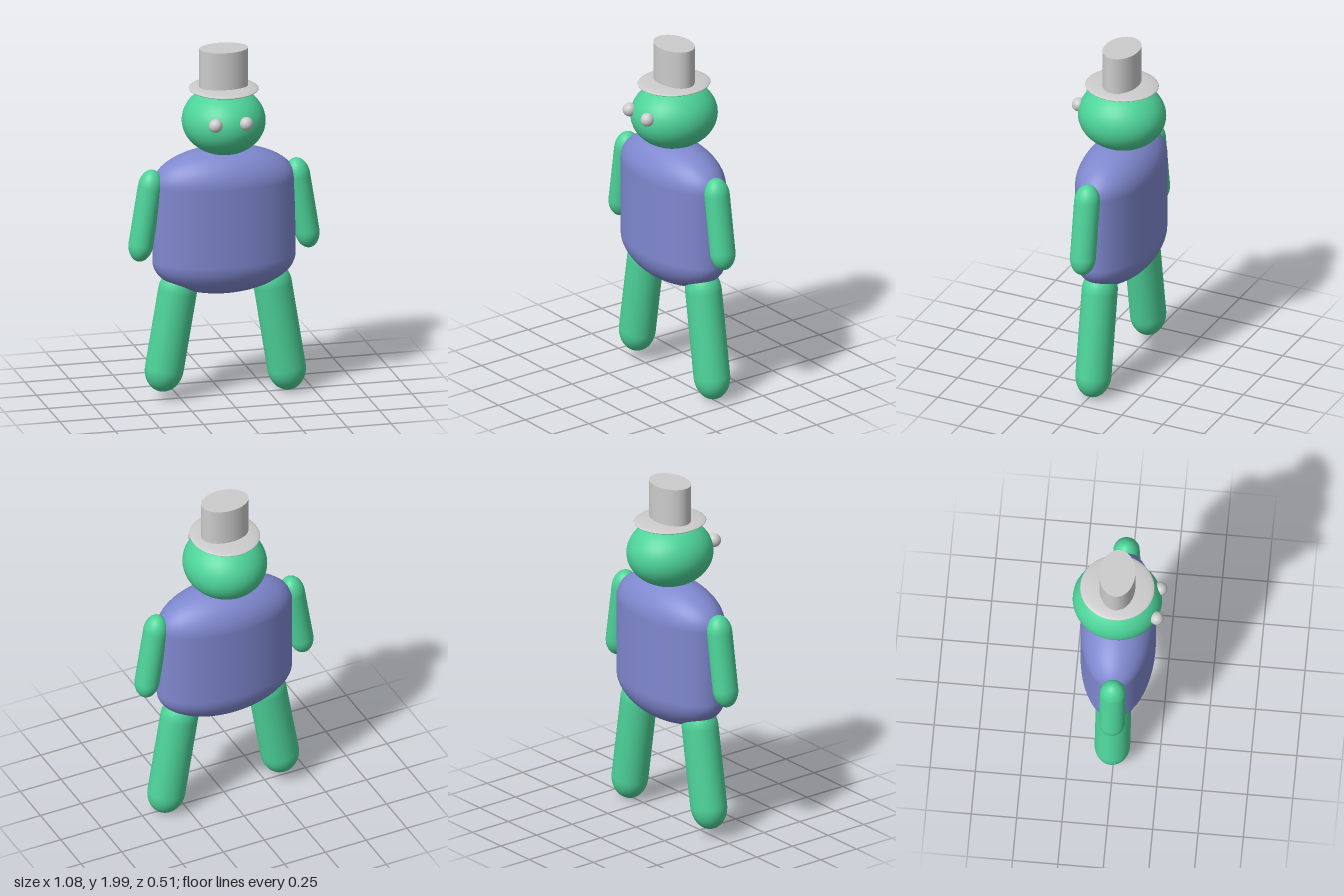
import * as THREE from 'three';

const green = new THREE.MeshStandardMaterial({ color: 0x4dd399 });
const blue = new THREE.MeshStandardMaterial({ color: 0x7f88cf });
const grey = new THREE.MeshStandardMaterial({ color: 0xcccccc });

export function createModel() {
  const model = new THREE.Group();

  function add(name, geometry, material, x, y, z, tilt = 0) {
    const mesh = new THREE.Mesh(geometry, material);
    mesh.name = name;
    mesh.position.set(x, y, z);
    mesh.rotation.z = tilt;
    model.add(mesh);
    return mesh;
  }

  // Capsule with an elliptical section and stretched end caps
  const capsule = (rx, rz, length, cap) =>
    new THREE.CapsuleGeometry(1, length / cap - 2, 20, 48).scale(rx, cap, rz);
  const ellipsoid = (rx, ry, rz) =>
    new THREE.SphereGeometry(1, 48, 32).scale(rx, ry, rz);

  // Torso and head
  add('torso', capsule(0.403, 0.205, 0.84, 0.2), blue, 0, 1.02, -0.007);
  add('head', ellipsoid(0.23, 0.19, 0.246), green, 0, 1.587, -0.012);

  // Hat: thin lens-shaped brim with an oval crown
  add('hatBrim', ellipsoid(0.191, 0.02, 0.205), grey, 0, 1.77, -0.012);
  const crown = new THREE.CylinderGeometry(1, 1, 0.23, 64).scale(0.137, 1, 0.099);
  add('hatCrown', crown, grey, 0, 1.885, -0.012);

  // Eyes, set slightly towards the right
  add('rightEye', ellipsoid(0.038, 0.038, 0.038), grey, -0.105, 1.628, 0.214);
  add('leftEye', ellipsoid(0.038, 0.038, 0.038), grey, 0.068, 1.628, 0.219);

  // Arms, splayed outwards
  const arm = capsule(0.068, 0.072, 0.525, 0.1);
  add('rightArm', arm, green, -0.447, 1.075, 0.001, -0.16);
  add('leftArm', arm, green, 0.444, 1.08, 0.001, 0.16);

  // Legs, splayed outwards, the left one reaching lower
  add('rightLeg', capsule(0.108, 0.098, 0.71, 0.13), green, -0.3, 0.405, -0.009, -0.168);
  add('leftLeg', capsule(0.107, 0.098, 0.75, 0.13), green, 0.317, 0.38, -0.009, 0.16);

  return model;
}
